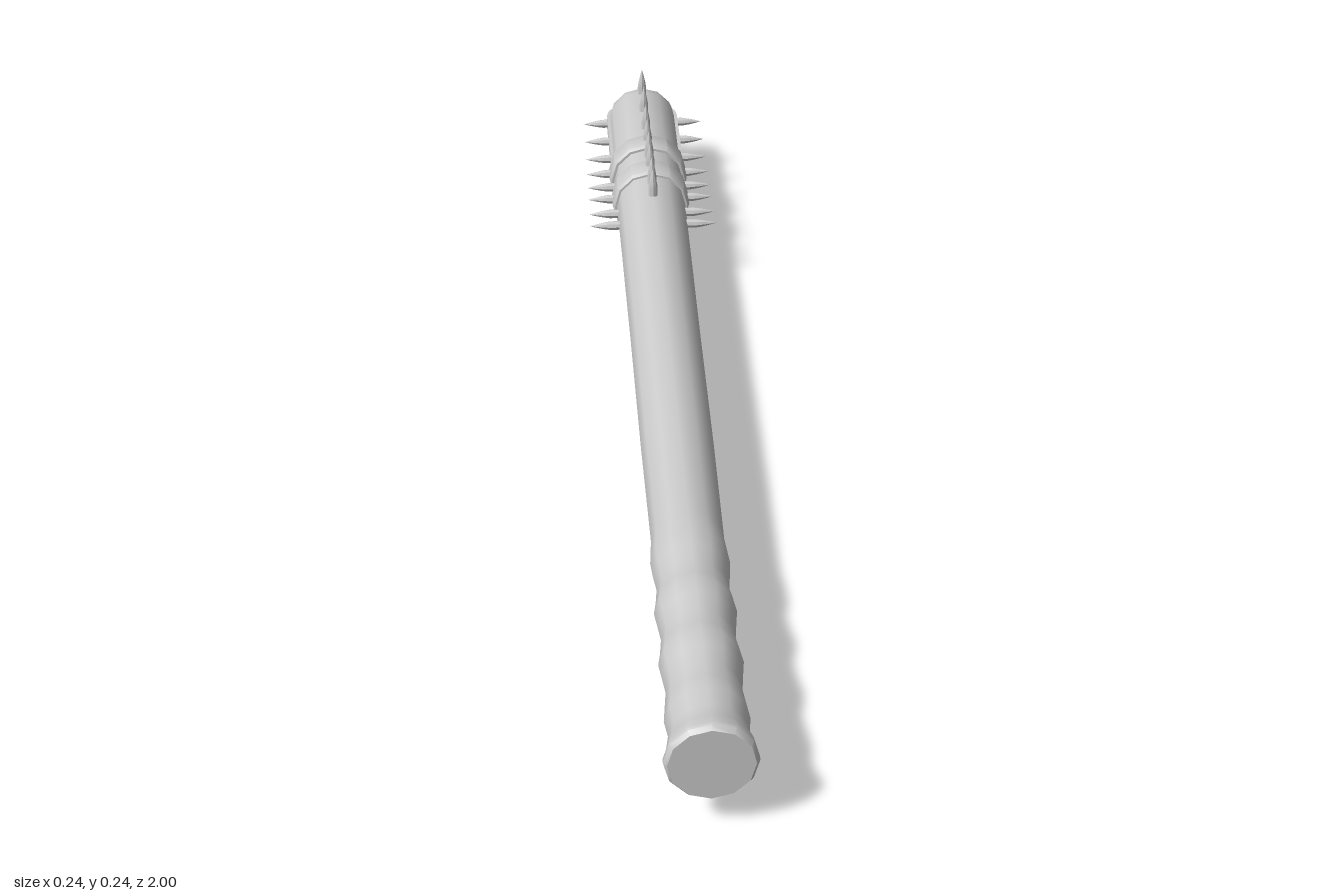
import * as THREE from 'three';
import { toCreasedNormals } from 'three/addons/utils/BufferGeometryUtils.js';

const AXIS_Y = 0.12;
const SIDES = 12;

export function createModel() {
  const model = new THREE.Group();
  const material = new THREE.MeshStandardMaterial({ color: 0xcccccc });

  // Everything is modelled round the z axis, then lifted to rest on the ground
  const club = new THREE.Group();
  club.name = 'club';
  club.position.y = AXIS_Y;
  model.add(club);

  const add = (name, geometry, parent = club) => {
    const mesh = new THREE.Mesh(toCreasedNormals(geometry, 0.75), material);
    mesh.name = name;
    parent.add(mesh);
    return mesh;
  };

  // Turned solid along z from [radius, z] pairs with rising z
  const turned = (profile, sides = SIDES) => new THREE.LatheGeometry(
    profile.map(([r, z]) => new THREE.Vector2(r, z)), sides).rotateX(Math.PI / 2);

  // Shaft with rounded tip, ribbed grip and flared pommel
  add('shaft', turned([
    [0, -0.943], [0.045, -0.942], [0.058, -0.937], [0.065, -0.925], [0.068, -0.905],
    [0.067, -0.7], [0.064, -0.45], [0.061, -0.1], [0.059, 0.25], [0.056, 0.5],
    [0.06, 0.555], [0.058, 0.585], [0.054, 0.62], [0.057, 0.65],
    [0.061, 0.675], [0.058, 0.7], [0.054, 0.735], [0.057, 0.765],
    [0.061, 0.79], [0.058, 0.815], [0.054, 0.85], [0.057, 0.88],
    [0.06, 0.91], [0.056, 0.94], [0.06, 0.965], [0.066, 0.985],
    [0.066, 0.993], [0.061, 1], [0, 1],
  ]));

  // Two metal bands
  for (const [z0, z1, r] of [[-0.608, -0.552, 0.073], [-0.708, -0.655, 0.075]]) {
    add('band', turned([
      [0.06, z0], [r - 0.004, z0], [r, z0 + 0.006],
      [r, z1 - 0.006], [r - 0.004, z1], [0.06, z1],
    ]));
  }

  // Strap running from one side over the tip to the other
  const strap = new THREE.Shape();
  strap.moveTo(0.07, 0.66);
  strap.lineTo(0.071, 0.905);
  strap.quadraticCurveTo(0.069, 0.948, 0.04, 0.948);
  strap.lineTo(-0.04, 0.948);
  strap.quadraticCurveTo(-0.069, 0.948, -0.071, 0.905);
  strap.lineTo(-0.07, 0.66);
  strap.lineTo(-0.055, 0.66);
  strap.lineTo(-0.055, 0.925);
  strap.lineTo(0.055, 0.925);
  strap.lineTo(0.055, 0.66);
  add('strap', new THREE.ExtrudeGeometry(strap, { depth: 0.026, bevelEnabled: false, curveSegments: 6 })
    .translate(0, 0, -0.013).rotateX(-Math.PI / 2));

  // Spikes: a short stud swelling before its point, in rings of four
  const spike = new THREE.LatheGeometry([
    [0.008, 0.052], [0.0085, 0.072], [0.0085, 0.08], [0.006, 0.095], [0.003, 0.108], [0, 0.119],
  ].map(([r, h]) => new THREE.Vector2(r, h)), 8);
  const spikes = new THREE.Group();
  spikes.name = 'spikes';
  club.add(spikes);
  for (const z of [-0.48, -0.525, -0.583, -0.63, -0.685, -0.747, -0.822, -0.9]) {
    for (let i = 0; i < 4; i++) {
      const mesh = add('spike', spike, spikes);
      mesh.position.z = z;
      mesh.rotation.z = i * Math.PI / 2;
    }
  }

  // Spike pointing out of the tip
  const tip = add('tipSpike', spike, spikes);
  tip.rotation.x = -Math.PI / 2;
  tip.position.z = -0.881;

  return model;
}
